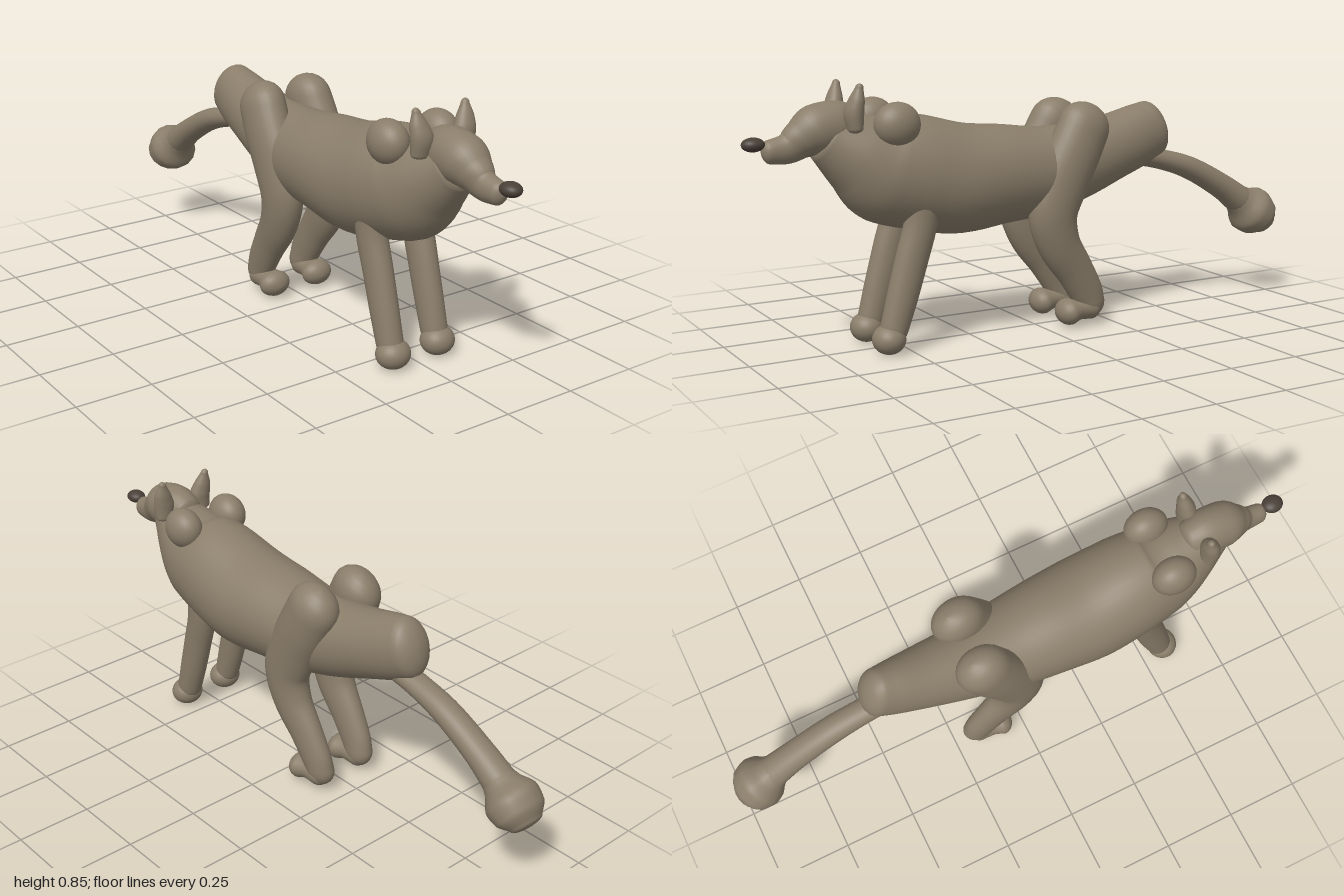
import * as THREE from 'three';

const fur = new THREE.MeshStandardMaterial({ color: 0x8a7d6a });
fur.name = 'fur';
const noseDark = new THREE.MeshStandardMaterial({ color: 0x4a4038 });
noseDark.name = 'noseDark';

// Smooth tube through sections [x, y, z, halfWidth, halfDepth], closed by rounded caps
function loft(name, sections, { side = 1, caps = [0.03, 0.03], material = fur, seg = 28, per = 6 } = {}) {
  const path = new THREE.CatmullRomCurve3(sections.map(([x, y, z]) => new THREE.Vector3(x * side, y, z)));
  const size = new THREE.CatmullRomCurve3(sections.map((s) => new THREE.Vector3(s[3], s[4], 0)));
  const steps = (sections.length - 1) * per;
  const capSteps = 6;
  const rings = [];
  const addRing = (t, shift, scale) => {
    const dir = path.getTangent(t);
    const centre = path.getPoint(t).addScaledVector(dir, shift);
    const u = new THREE.Vector3(1, 0, 0);
    const v = dir.clone().setX(0).normalize().cross(u);
    const r = size.getPoint(t);
    rings.push({ centre, u: u.multiplyScalar(r.x * scale), v: v.multiplyScalar(r.y * scale) });
  };
  for (let i = 0; i < capSteps; i++) {
    const a = (Math.PI / 2) * (1 - i / capSteps);
    addRing(0, -caps[0] * Math.sin(a), Math.max(Math.cos(a), 0.01));
  }
  for (let i = 0; i <= steps; i++) addRing(i / steps, 0, 1);
  for (let i = 1; i <= capSteps; i++) {
    const a = (Math.PI / 2) * (i / capSteps);
    addRing(1, caps[1] * Math.sin(a), Math.max(Math.cos(a), 0.01));
  }
  const pos = [];
  const index = [];
  rings.forEach(({ centre, u, v }, i) => {
    for (let j = 0; j < seg; j++) {
      const a = (j / seg) * Math.PI * 2;
      const p = centre.clone().addScaledVector(u, Math.cos(a)).addScaledVector(v, Math.sin(a));
      pos.push(p.x, p.y, p.z);
      if (i < rings.length - 1) {
        const k = (j + 1) % seg;
        const a0 = i * seg + j, b0 = i * seg + k;
        index.push(a0, b0, a0 + seg, b0, b0 + seg, a0 + seg);
      }
    }
  });
  // Close the tiny end holes
  const last = (rings.length - 1) * seg;
  for (let j = 1; j < seg - 1; j++) index.push(0, j + 1, j, last, last + j, last + j + 1);
  const geo = new THREE.BufferGeometry();
  geo.setAttribute('position', new THREE.Float32BufferAttribute(pos, 3));
  geo.setIndex(index);
  geo.computeVertexNormals();
  const mesh = new THREE.Mesh(geo, material);
  mesh.name = name;
  return mesh;
}

function ball(name, x, y, z, rx, ry, rz, material = fur) {
  const mesh = new THREE.Mesh(new THREE.SphereGeometry(1, 28, 20), material);
  mesh.name = name;
  mesh.position.set(x, y, z);
  mesh.scale.set(rx, ry, rz);
  return mesh;
}

export function createModel() {
  const model = new THREE.Group();
  model.name = 'wolf';

  // Torso from neck to rump
  model.add(loft('torso', [
    [0, 0.69, 0.73, 0.075, 0.085],
    [0, 0.635, 0.64, 0.12, 0.13],
    [0, 0.585, 0.55, 0.15, 0.175],
    [0, 0.56, 0.44, 0.167, 0.183],
    [0, 0.53, 0.3, 0.175, 0.18],
    [0, 0.53, 0.15, 0.166, 0.166],
    [0, 0.53, 0, 0.15, 0.15],
    [0, 0.55, -0.15, 0.125, 0.132],
    [0, 0.59, -0.3, 0.103, 0.115],
    [0, 0.625, -0.41, 0.085, 0.108],
    [0, 0.645, -0.465, 0.074, 0.1],
  ], { caps: [0.03, 0.05], seg: 40 }));

  // Head and muzzle
  model.add(loft('head', [
    [0, 0.71, 0.65, 0.06, 0.07],
    [0, 0.718, 0.71, 0.073, 0.082],
    [0, 0.71, 0.77, 0.074, 0.08],
    [0, 0.685, 0.82, 0.056, 0.06],
    [0, 0.662, 0.86, 0.038, 0.047],
    [0, 0.655, 0.915, 0.032, 0.037],
  ], { caps: [0.03, 0.025] }));
  model.add(ball('nose', 0, 0.68, 0.965, 0.031, 0.022, 0.036, noseDark));

  // Tail and flared tuft
  model.add(loft('tail', [
    [0, 0.56, -0.38, 0.045, 0.035],
    [0, 0.535, -0.5, 0.043, 0.035],
    [0, 0.495, -0.63, 0.046, 0.04],
    [0, 0.415, -0.78, 0.05, 0.045],
    [0, 0.36, -0.86, 0.055, 0.052],
  ]));
  model.add(loft('tailTuft', [
    [0, 0.38, -0.835, 0.045, 0.044],
    [0, 0.35, -0.873, 0.062, 0.06],
    [0, 0.318, -0.915, 0.09, 0.088],
    [0, 0.29, -0.95, 0.086, 0.078],
    [0, 0.268, -0.975, 0.058, 0.05],
  ], { caps: [0.01, 0.016], seg: 16 }));

  for (const side of [1, -1]) {
    const label = side > 0 ? 'left' : 'right';

    model.add(loft(label + 'Ear', [
      [0.08, 0.72, 0.672, 0.033, 0.024],
      [0.079, 0.765, 0.675, 0.038, 0.03],
      [0.086, 0.805, 0.668, 0.03, 0.024],
      [0.091, 0.84, 0.661, 0.014, 0.013],
    ], { side, caps: [0.015, 0.016] }));

    // Front leg
    model.add(ball(label + 'Shoulder', side * 0.095, 0.725, 0.54, 0.058, 0.07, 0.075));
    model.add(loft(label + 'FrontLeg', [
      [0.095, 0.6, 0.45, 0.05, 0.06],
      [0.09, 0.42, 0.462, 0.047, 0.054],
      [0.088, 0.3, 0.495, 0.044, 0.054],
      [0.088, 0.18, 0.53, 0.043, 0.051],
      [0.088, 0.08, 0.56, 0.042, 0.045],
    ], { side }));
    model.add(ball(label + 'FrontPaw', side * 0.088, 0.053, 0.577, 0.057, 0.048, 0.053));

    // Hind leg: rounded hip, bent hock, short foot
    model.add(loft(label + 'HindLeg', [
      [0.092, 0.68, -0.135, 0.071, 0.092],
      [0.097, 0.6, -0.095, 0.071, 0.094],
      [0.1, 0.5, -0.045, 0.066, 0.094],
      [0.1, 0.4, -0.012, 0.062, 0.088],
      [0.097, 0.3, -0.035, 0.056, 0.076],
      [0.093, 0.2, -0.1, 0.047, 0.066],
      [0.09, 0.12, -0.148, 0.043, 0.06],
      [0.088, 0.08, -0.165, 0.042, 0.053],
    ], { side, caps: [0.08, 0.052] }));
    model.add(loft(label + 'HindPaw', [
      [0.088, 0.063, -0.165, 0.042, 0.04],
      [0.088, 0.063, -0.12, 0.043, 0.037],
      [0.088, 0.058, -0.08, 0.056, 0.045],
    ], { side, caps: [0.035, 0.042] }));
  }
  return model;
}
